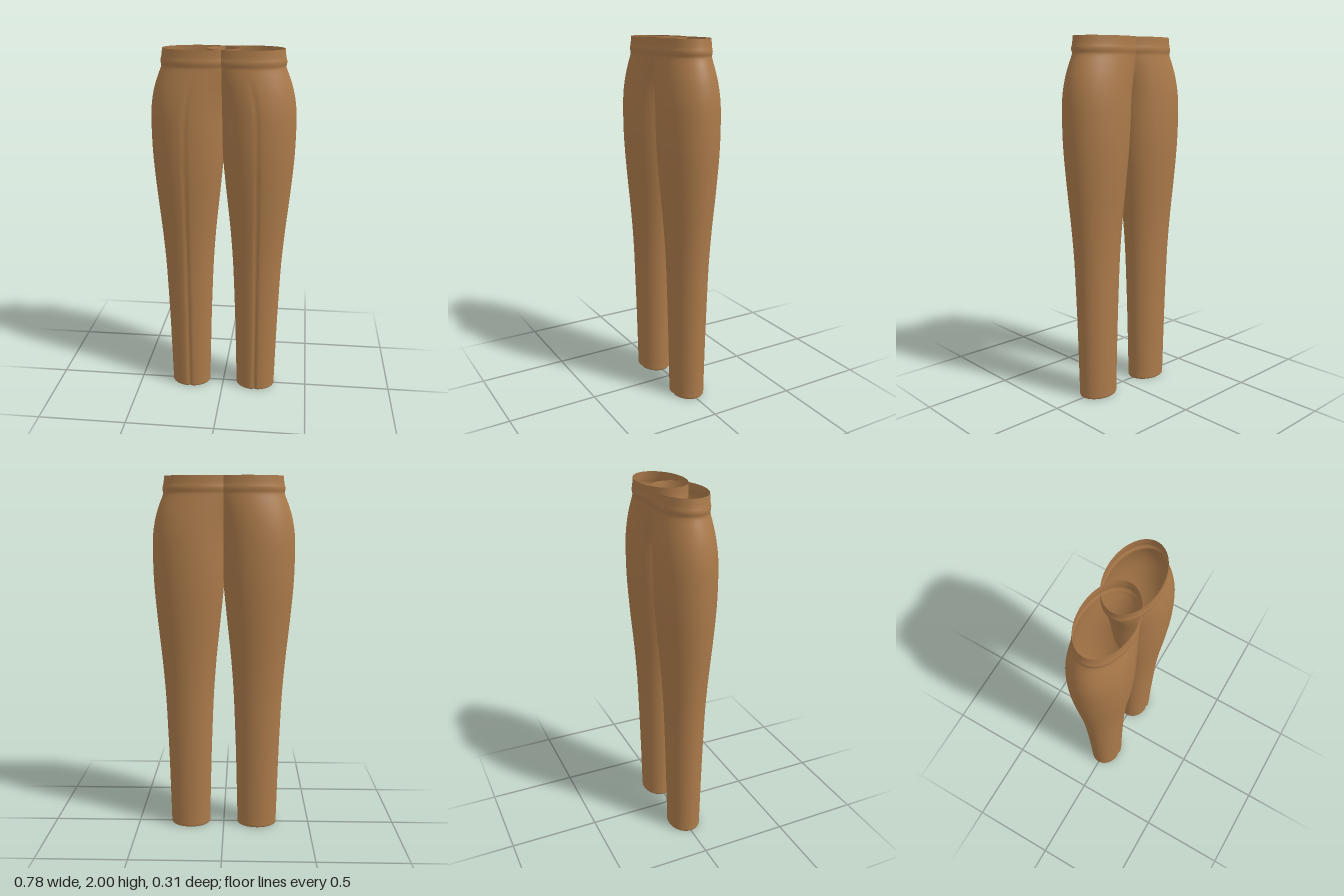
import * as THREE from 'three';

// height, outer x, inner x, half depth of one trouser leg
const KEYS = [
  [0, 0.306, 0.084, 0.089], [0.008, 0.309, 0.081, 0.093], [0.03, 0.309, 0.081, 0.093],
  [0.08, 0.31, 0.08, 0.094], [0.2, 0.313, 0.077, 0.096], [0.4, 0.318, 0.072, 0.1],
  [0.6, 0.325, 0.065, 0.105], [0.8, 0.334, 0.056, 0.111], [1, 0.35, 0.041, 0.123],
  [1.2, 0.37, 0.02, 0.14], [1.4, 0.387, 0, 0.154], [1.55, 0.392, -0.01, 0.158],
  [1.68, 0.39, -0.018, 0.156], [1.78, 0.374, -0.037, 0.148], [1.85, 0.352, -0.058, 0.139],
  [1.89, 0.336, -0.071, 0.133], [1.91, 0.33, -0.076, 0.131], [1.925, 0.333, -0.082, 0.134],
  [1.94, 0.333, -0.083, 0.135], [1.96, 0.328, -0.081, 0.132], [2, 0.323, -0.083, 0.131],
];
const SIDES = 112, STEPS = 3;

const curve = (f) => new THREE.CatmullRomCurve3(KEYS.map(f), false, 'catmullrom');
const widths = curve(([y, o, i]) => new THREE.Vector3(o, y, i));
const depths = curve(([y, , , d]) => new THREE.Vector3(d, y, 0));

// One horizontal loop: an ellipse with a narrow pressed crease in front
function ring(t, side) {
  const w = widths.getPoint(t), d = depths.getPoint(t).x;
  const c = (w.x + w.z) / 2, r = (w.x - w.z) / 2, y = w.y;
  const fade = 1 - THREE.MathUtils.smoothstep(y, 1.7, 1.9);
  const dip = THREE.MathUtils.lerp(0.008, 0.005, Math.min(y / 1.6, 1)) * fade;
  const out = [];
  for (let j = 0; j < SIDES; j++) {
    const a = (j / SIDES) * Math.PI * 2 * side;
    const x = r * Math.cos(a);
    let z = d * Math.sin(a);
    if (z > 0) z -= dip * Math.exp(-((x / 0.011) ** 2));
    out.push(side * (c + x), y, z);
  }
  return out;
}

function geometry(pos, index) {
  const g = new THREE.BufferGeometry();
  g.setAttribute('position', new THREE.Float32BufferAttribute(pos, 3));
  g.setIndex(index);
  g.computeVertexNormals();
  return g;
}

// Open tube of fabric lofted through the loops
function legTube(side) {
  const n = (KEYS.length - 1) * STEPS, pos = [], index = [];
  for (let i = 0; i <= n; i++) pos.push(...ring(i / n, side));
  for (let i = 0; i < n; i++) {
    for (let j = 0; j < SIDES; j++) {
      const k = (j + 1) % SIDES;
      const a = i * SIDES + j, b = i * SIDES + k;
      const c = a + SIDES, d = b + SIDES;
      // the mirrored loop keeps the same turning direction
      index.push(a, c, b, b, c, d);
    }
  }
  return geometry(pos, index);
}

// Flat disc closing the hem
function hemCap(side) {
  const pos = [...ring(0, side), side * 0.195, 0, 0], index = [];
  for (let j = 0; j < SIDES; j++) index.push(SIDES, j, (j + 1) % SIDES);
  return geometry(pos, index);
}

export function createModel() {
  const fabric = new THREE.MeshStandardMaterial({ color: 0xab7a4a, side: THREE.DoubleSide });
  fabric.name = 'brown fabric';
  const model = new THREE.Group();
  model.name = 'trousers';
  for (const [name, side] of [['left', 1], ['right', -1]]) {
    const leg = new THREE.Group();
    leg.name = name + 'Leg';
    const tube = new THREE.Mesh(legTube(side), fabric);
    tube.name = name + 'LegFabric';
    const cap = new THREE.Mesh(hemCap(side), fabric);
    cap.name = name + 'HemCap';
    leg.add(tube, cap);
    model.add(leg);
  }
  return model;
}
